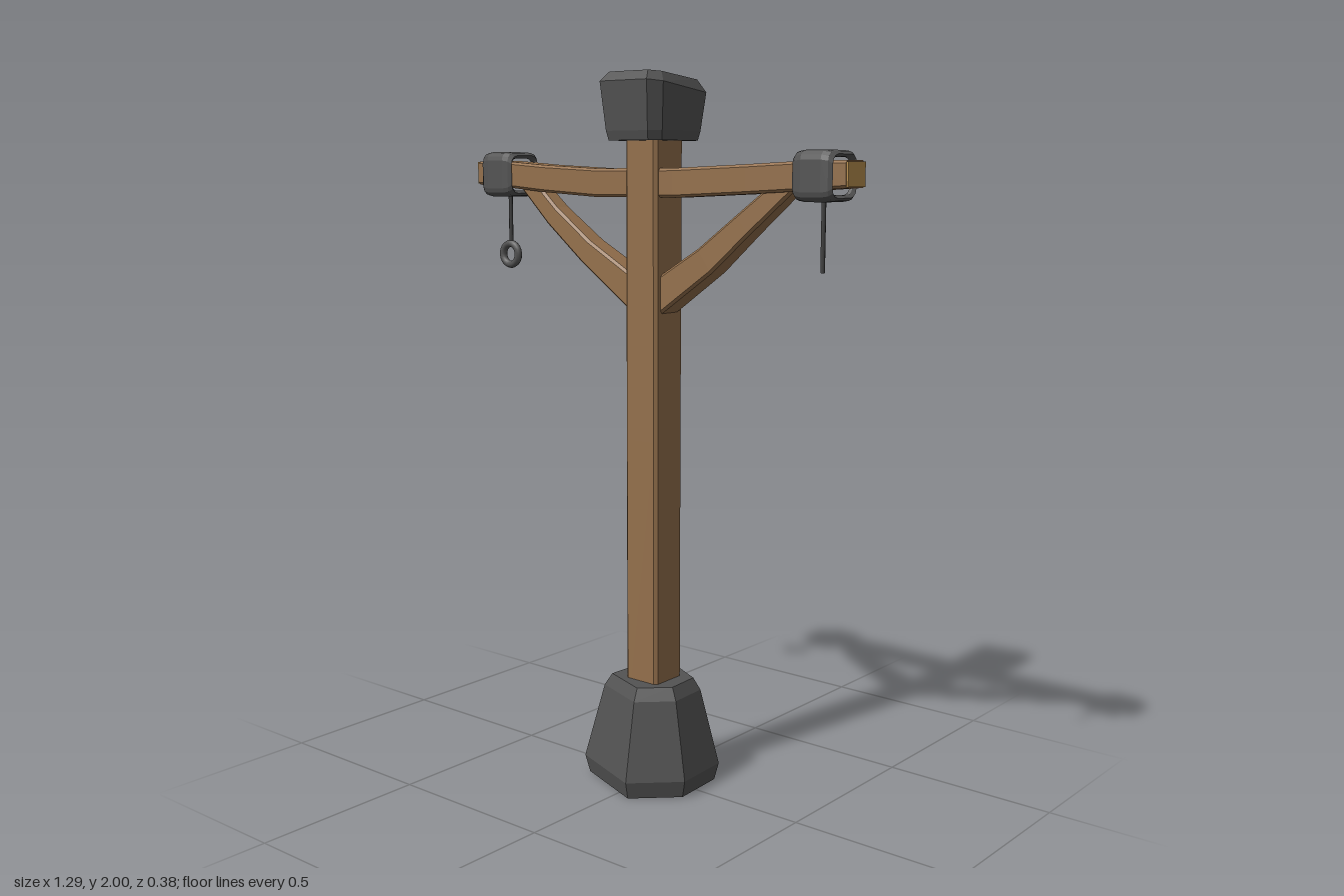
import * as THREE from 'three';

const mat = (name, color) => Object.assign(new THREE.MeshStandardMaterial({ color }), { name });

// Faceted skin over cross-sections; rings run counter-clockwise seen from the far end
function loft(rings, capped = true) {
  const pos = [];
  const tri = (a, b, c) => pos.push(...a, ...b, ...c);
  const n = rings[0].length;
  for (let r = 0; r < rings.length - 1; r++) {
    const A = rings[r], B = rings[r + 1];
    for (let i = 0; i < n; i++) {
      const j = (i + 1) % n;
      tri(A[i], A[j], B[j]);
      tri(A[i], B[j], B[i]);
    }
  }
  if (capped) {
    const first = rings[0], last = rings[rings.length - 1];
    for (let i = 1; i < n - 1; i++) {
      tri(first[0], first[i + 1], first[i]);
      tri(last[0], last[i], last[i + 1]);
    }
  }
  const g = new THREE.BufferGeometry();
  g.setAttribute('position', new THREE.Float32BufferAttribute(pos, 3));
  g.computeVertexNormals();
  return g;
}

// Square with cut corners as [u, v] pairs
function cutSquare(hu, hv, c) {
  return [[hu, -hv + c], [hu, hv - c], [hu - c, hv], [-hu + c, hv],
    [-hu, hv - c], [-hu, -hv + c], [-hu + c, -hv], [hu - c, -hv]];
}

// Timber following a path in the xy plane; stations are [x, y, halfHeight, halfDepth]
function timber(stations, cut) {
  const rings = stations.map(([x, y, hu, hv], i) => {
    const p = stations[Math.max(i - 1, 0)], q = stations[Math.min(i + 1, stations.length - 1)];
    const d = new THREE.Vector2(q[0] - p[0], q[1] - p[1]).normalize();
    return cutSquare(hu, hv, cut).map(([u, v]) => [x - d.y * u, y + d.x * u, v]);
  });
  return loft(rings);
}

// Rough stone: one plan outline scaled level by level, levels are [y, scale, tilt]
function stone(plan, levels) {
  return loft(levels.map(([y, s, tilt = 0]) => plan.map(([x, z]) => [x * s, y + z * tilt, z * s])));
}

// Rounded square sleeve around the beam, open at both ends
function sleeve() {
  const profile = [[-0.045, 0.046], [-0.052, 0.048], [-0.06, 0.054], [-0.05, 0.061], [-0.03, 0.064],
    [0.03, 0.064], [0.05, 0.061], [0.06, 0.054], [0.052, 0.048], [0.045, 0.046]];
  return loft(profile.map(([x, h]) => {
    const ring = [], r = 0.024, k = h - r;
    for (let q = 0; q < 4; q++) {
      const mid = (q + 0.5) * Math.PI / 2;
      for (let s = 0; s < 4; s++) {
        const a = q * Math.PI / 2 + s * Math.PI / 6;
        ring.push([x, Math.sign(Math.cos(mid)) * k + r * Math.cos(a), Math.sign(Math.sin(mid)) * k + r * Math.sin(a)]);
      }
    }
    return ring;
  }), false);
}

export function createModel() {
  const model = new THREE.Group();
  model.name = 'hangingPost';
  const wood = mat('wood', 0x94704c);
  const cutWood = mat('cutWood', 0xb98f4e);
  const rock = mat('stone', 0x535353);
  const iron = mat('iron', 0x404040);

  const add = (name, geo, material, x = 0, y = 0, z = 0) => {
    const m = new THREE.Mesh(geo, material);
    m.name = name;
    m.position.set(x, y, z);
    model.add(m);
    return m;
  };

  // Stone foot and head
  add('baseStone', stone(
    [[0.05, 0.185], [0.17, 0.07], [0.16, -0.1], [-0.02, -0.19], [-0.17, -0.09], [-0.18, 0.1]],
    [[0, 0.93], [0.05, 1], [0.27, 0.71], [0.305, 0.6]]), rock);
  add('capStone', stone(
    [[-0.085, 0.125], [0.08, 0.127], [0.106, 0.09], [0.1, -0.1], [0.05, -0.127], [-0.075, -0.115], [-0.106, -0.09], [-0.106, 0.1]],
    [[1.82, 0.84], [1.845, 0.89], [1.96, 1, 0.12], [1.99, 0.82, 0.08]]), rock);

  // Upright
  add('post', timber([[-0.002, 0.2, 0.057, 0.058], [-0.002, 1, 0.057, 0.058], [0, 1.86, 0.055, 0.06]], 0.009), wood);

  // Sagging cross beam with pale cut ends
  add('beam', timber([[-0.642, 1.732, 0.034, 0.042], [-0.55, 1.73, 0.037, 0.043], [-0.38, 1.717, 0.038, 0.045],
    [-0.18, 1.707, 0.039, 0.048], [0.1, 1.708, 0.039, 0.048], [0.34, 1.719, 0.038, 0.045],
    [0.55, 1.73, 0.037, 0.043], [0.642, 1.733, 0.034, 0.042]], 0.007), wood);

  // Curved braces
  add('rightBrace', timber([[-0.03, 1.395, 0.046, 0.04], [-0.23, 1.517, 0.034, 0.034],
    [-0.36, 1.613, 0.03, 0.03], [-0.475, 1.716, 0.027, 0.026]], 0.007), wood);
  add('leftBrace', timber([[0.03, 1.395, 0.046, 0.04], [0.2, 1.505, 0.039, 0.036],
    [0.32, 1.602, 0.033, 0.031], [0.465, 1.716, 0.027, 0.026]], 0.007), wood);

  // Beam ends, sleeves and hanging rods
  for (const [side, s, bottom] of [['right', -1, 1.525], ['left', 1, 1.487]]) {
    add(side + 'BeamEnd', new THREE.BoxGeometry(0.008, 0.062, 0.078), cutWood, s * 0.643, 1.7325);
    add(side + 'Sleeve', sleeve(), rock, s * 0.552, 1.728);
    add(side + 'Rod', new THREE.CylinderGeometry(0.006, 0.006, 1.68 - bottom, 8), iron, s * 0.552, (1.68 + bottom) / 2);
  }
  add('ring', new THREE.TorusGeometry(0.031, 0.011, 8, 20), rock, -0.555, 1.495);

  return model;
}
